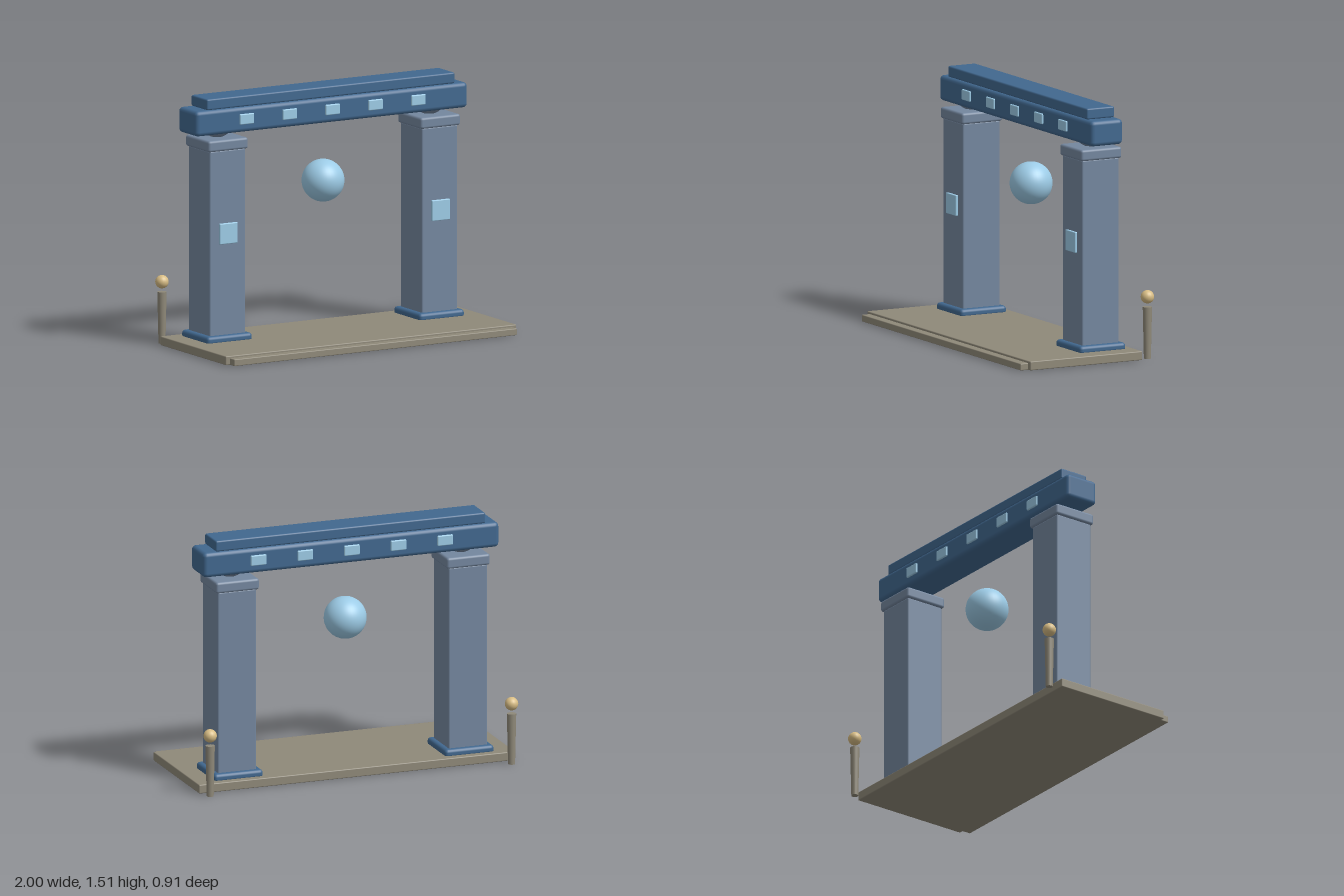
import * as THREE from 'three';
import { RoundedBoxGeometry } from 'three/addons/geometries/RoundedBoxGeometry.js';

const material = (color) => new THREE.MeshStandardMaterial({ color });

export function createModel() {
  const model = new THREE.Group();
  model.name = 'gate';
  const stone = material(0x8f8979);
  const pillarStone = material(0x74879f);
  const blue = material(0x41688f);
  const glass = material(0x9ccbe6);
  const gold = material(0xd8bd85);
  const gateZ = -0.155;

  const add = (name, geometry, mat, x, y, z) => {
    const mesh = new THREE.Mesh(geometry, mat);
    mesh.name = name;
    mesh.position.set(x, y, z);
    model.add(mesh);
    return mesh;
  };
  // Block with softened edges, placed by its bottom and top heights
  const block = (name, mat, w, d, y0, y1, x, z, bevel) =>
    add(name, new RoundedBoxGeometry(w, y1 - y0, d, 2, bevel), mat, x, (y0 + y1) / 2, z);

  // Platform and front step
  block('platform', stone, 2, 0.755, 0.004, 0.058, 0, 0.0225, 0.006);
  block('frontStep', stone, 1.945, 0.1, 0.004, 0.045, 0, 0.402, 0.005);

  for (const side of [-1, 1]) {
    const x = side * 0.73;
    // Pillar with base, capital and bearing ball
    block('pillarBase', blue, 0.31, 0.31, 0.045, 0.096, x, gateZ, 0.02);
    block('pillar', pillarStone, 0.246, 0.25, 0.07, 1.205, x, gateZ, 0.01);
    block('capital', pillarStone, 0.273, 0.273, 1.2, 1.268, x, gateZ, 0.015);
    add('bearingBall', new THREE.SphereGeometry(0.1, 24, 16), pillarStone, x, 1.36, gateZ);
    block('pillarPanel', glass, 0.123, 0.03, 0.642, 0.766, x, -0.03, 0.005);

    // Tapered lamp post with a ball on top
    add('lampPost', new THREE.CylinderGeometry(0.028, 0.021, 0.31, 16), stone, side * 0.953, 0.157, -0.414);
    add('lampBall', new THREE.SphereGeometry(0.04, 20, 14), gold, side * 0.953, 0.372, -0.414);
  }

  // Lintel, upper beam and the panels through the lintel
  block('lintel', blue, 1.87, 0.215, 1.295, 1.447, 0, gateZ, 0.025);
  block('upperBeam', blue, 1.705, 0.185, 1.446, 1.512, 0, gateZ, 0.01);
  for (let i = -2; i <= 2; i++) {
    for (const face of [-1, 1]) {
      block('lintelPanel', glass, 0.098, 0.03, 1.343, 1.406, i * 0.295, gateZ + face * 0.103, 0.006);
    }
  }

  // Floating orb
  add('orb', new THREE.SphereGeometry(0.127, 40, 28), glass, 0, 0.932, gateZ);

  return model;
}
